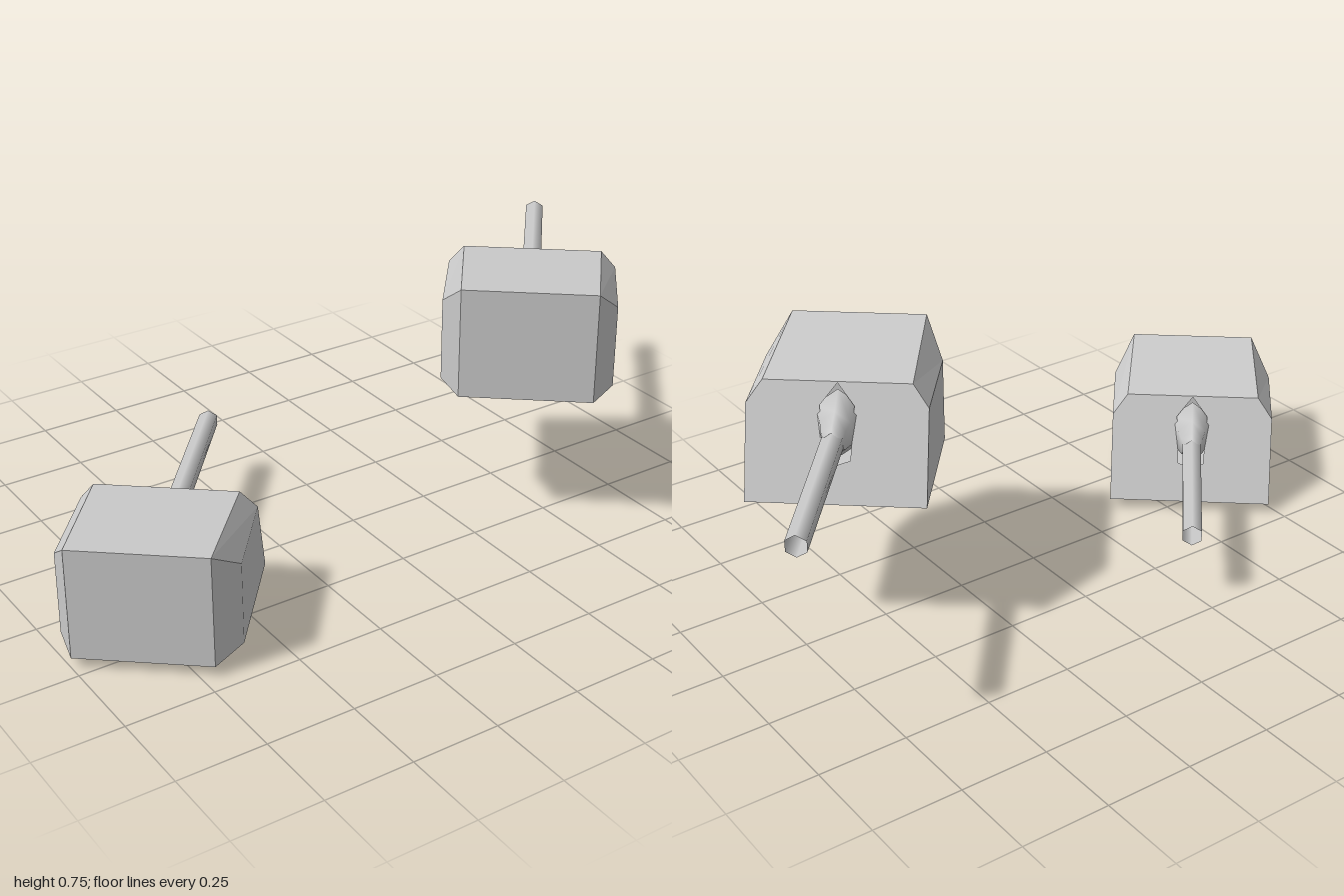
import * as THREE from 'three';

const smooth = new THREE.MeshStandardMaterial({ color: 0xcccccc, side: THREE.DoubleSide });
const flat = new THREE.MeshStandardMaterial({ color: 0xcccccc, side: THREE.DoubleSide, flatShading: true });

const AXIS_Y = 0.207; // height of the gun axis

function mesh(name, geometry, material) {
  const m = new THREE.Mesh(geometry, material);
  m.name = name;
  return m;
}

// Turn convex polygons into flat-shaded triangles
function polygons(faces) {
  const pos = [];
  for (const f of faces)
    for (let i = 1; i < f.length - 1; i++) pos.push(...f[0], ...f[i], ...f[i + 1]);
  const g = new THREE.BufferGeometry();
  g.setAttribute('position', new THREE.Float32BufferAttribute(pos, 3));
  g.computeVertexNormals();
  return g;
}

// Armoured housing: corners of one half, mirrored across x
function housing() {
  const backTop = [0.185, 0.35, -0.234], backLow = [0.185, 0.03, -0.234];
  const sideTop = [0.24, 0.268, -0.12], sideLow = [0.24, 0.03, -0.12];
  const frontTop = [0.238, 0.268, 0.163], frontLow = [0.238, 0.03, 0.262];
  const roofFront = [0.195, 0.325, 0.14];
  const mir = ([x, y, z]) => [-x, y, z];
  const half = [
    [sideLow, sideTop, frontTop, frontLow],
    [backLow, backTop, sideTop, sideLow],
    [sideTop, backTop, roofFront, frontTop],
  ];
  return polygons([
    ...half,
    ...half.map((f) => f.map(mir).reverse()),
    [roofFront, backTop, mir(backTop), mir(roofFront)],
    [mir(backLow), mir(backTop), backTop, backLow],
    [frontLow, mir(frontLow), mir(sideLow), mir(backLow), backLow, sideLow],
  ]);
}

// Sloping front plate with a six-sided gun port
function frontPlate() {
  const v = (x, y) => new THREE.Vector2(x, y);
  const shape = new THREE.Shape([
    v(-0.238, 0.03), v(0.238, 0.03), v(0.238, 0.268),
    v(0.195, 0.325), v(-0.195, 0.325), v(-0.238, 0.268),
  ]);
  shape.holes.push(new THREE.Path([
    v(0, 0.322), v(-0.045, 0.268), v(-0.037, 0.137),
    v(0, 0.125), v(0.037, 0.137), v(0.045, 0.268),
  ]));
  const g = new THREE.ShapeGeometry(shape);
  const p = g.attributes.position;
  for (let i = 0; i < p.count; i++) p.setZ(i, 0.262 - (p.getY(i) - 0.03) * 0.415);
  g.computeVertexNormals();
  return g;
}

// Flared collar around the barrel root, narrower than it is tall
function collar() {
  const profile = [[0.097, 0.14], [0.062, 0.2], [0.049, 0.237], [0.034, 0.264]];
  const g = new THREE.LatheGeometry(profile.map(([r, z]) => new THREE.Vector2(r, z)), 6);
  g.rotateX(Math.PI / 2).scale(0.75, 1, 1).translate(0, AXIS_Y, 0);
  g.computeVertexNormals();
  return g;
}

function turret(name, x, y) {
  const t = new THREE.Group();
  t.name = name;
  const ring = new THREE.CylinderGeometry(0.163, 0.163, 0.032, 8, 1, true).translate(0, 0.016, 0);
  const barrel = new THREE.CylinderGeometry(0.03, 0.031, 0.504, 6, 1, true)
    .rotateX(Math.PI / 2).translate(0, AXIS_Y, 0.502);
  t.add(
    mesh('housing', housing(), flat),
    mesh('frontPlate', frontPlate(), flat),
    mesh('mountingRing', ring, smooth),
    mesh('gunCollar', collar(), smooth),
    mesh('gunBarrel', barrel, smooth),
  );
  t.position.set(x, y, 0.148);
  t.rotation.y = Math.atan2(0.64, -0.768);
  return t;
}

export function createModel() {
  const model = new THREE.Group();
  model.name = 'twinTurrets';
  model.add(turret('lowerTurret', -0.708, 0), turret('upperTurret', 0.499, 0.4));
  return model;
}
